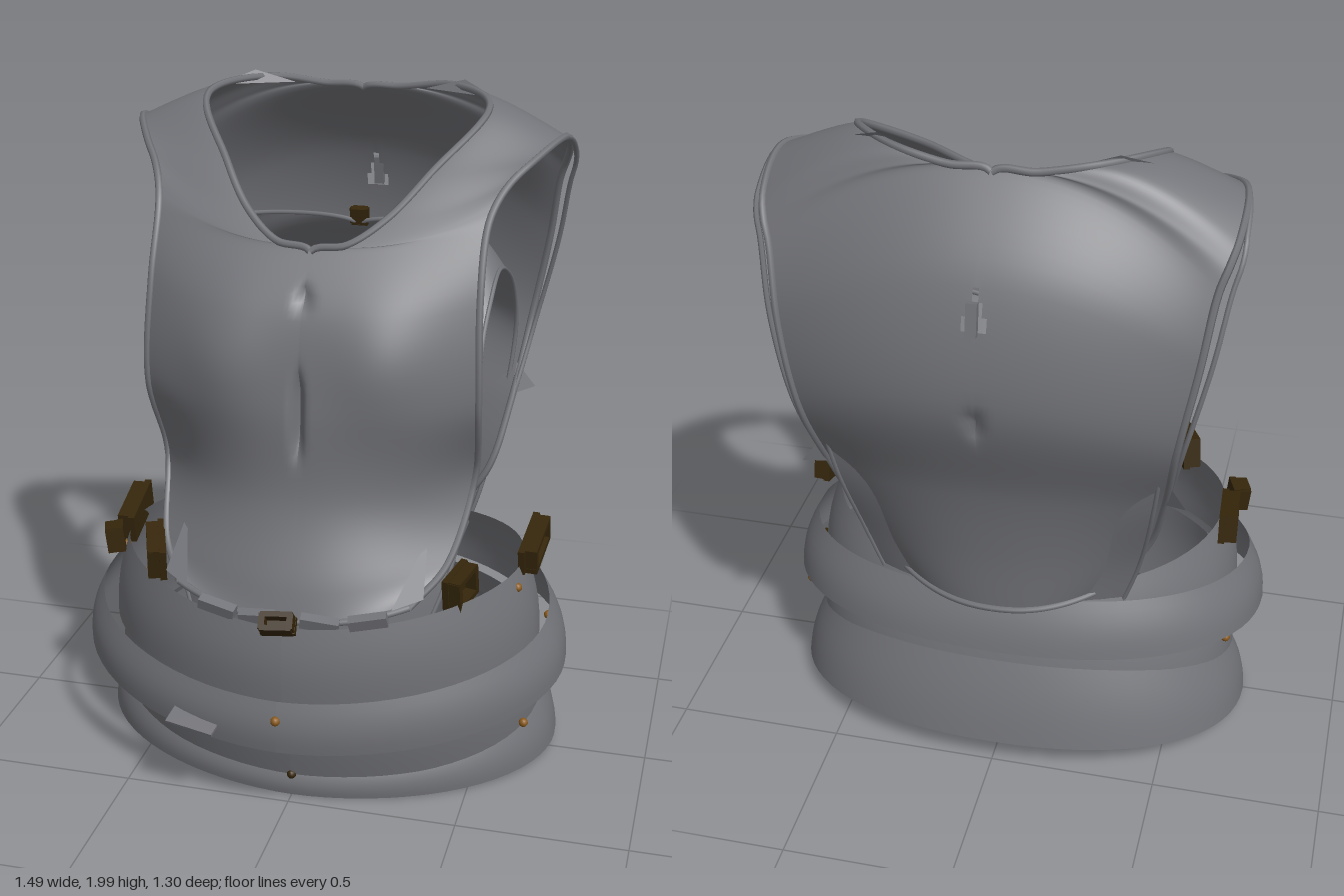
import * as THREE from 'three';

const mat = (name, color, side = THREE.DoubleSide) => {
  const m = new THREE.MeshStandardMaterial({ color, side });
  m.name = name;
  return m;
};
const spline = (pts) => new THREE.CatmullRomCurve3(pts.map((p) => new THREE.Vector3(...p)));

// Outer shell from front hem, over the shoulder, to back hem: centre or neck edge, and armhole edge
const shellInner = spline([
  [0, .61, .5], [0, .7, .47], [0, .92, .385], [0, 1.2, .37], [0, 1.45, .32], [0, 1.615, .22],
  [.1, 1.635, .205], [.2, 1.7, .14], [.3, 1.81, .02], [.42, 1.955, -.2], [.28, 1.98, -.37], [.12, 1.96, -.41],
  [0, 1.95, -.415], [0, 1.72, -.585], [0, 1.38, -.65], [0, 1.03, -.54], [0, .8, -.495], [0, .58, -.47]]);
const shellOuter = spline([
  [.34, .66, .43], [.42, .74, .3], [.465, .94, .14], [.485, 1.2, .23], [.475, 1.5, .2], [.475, 1.68, .12],
  [.49, 1.74, .07], [.52, 1.79, .01], [.57, 1.835, -.07], [.635, 1.875, -.22], [.635, 1.81, -.38], [.62, 1.76, -.43],
  [.6, 1.7, -.46], [.57, 1.5, -.52], [.525, 1.25, -.53], [.48, .97, -.41], [.43, .78, -.34], [.32, .62, -.34]]);
const SHELL = { inner: shellInner, outer: shellOuter, neck: [5 / 17, 12 / 17] };
const CORD = [9 / 17, 15 / 17];

// Smaller lining inside the shell, laid out the same way
const LINING = {
  inner: spline([[0, .42, .4], [0, .7, .36], [0, .95, .2], [0, 1.15, .11], [0, 1.3, .035], [.3, 1.33, .02],
    [.385, 1.45, -.08], [.4, 1.55, -.22], [.34, 1.56, -.33], [0, 1.54, -.37], [0, 1.35, -.52],
    [0, 1, -.48], [0, .7, -.43], [0, .45, -.4]]),
  outer: spline([[.34, .46, .3], [.42, .7, .22], [.45, .95, .12], [.46, 1.12, .09], [.455, 1.22, .05],
    [.455, 1.33, -.01], [.46, 1.41, -.08], [.465, 1.475, -.19], [.475, 1.42, -.34], [.48, 1.33, -.43],
    [.48, 1.2, -.48], [.46, 1, -.45], [.41, .72, -.36], [.34, .5, -.33]]),
  neck: [4 / 13, 9 / 13],
};

// Grid surface from a point function; skip() leaves holes
function gridGeometry(rows, cols, point, flip = false, skip = () => false) {
  const pos = [], idx = [];
  for (let i = 0; i <= rows; i++)
    for (let j = 0; j <= cols; j++) pos.push(...point(i / rows, j / cols));
  for (let i = 0; i < rows; i++)
    for (let j = 0; j < cols; j++) {
      const a = i * (cols + 1) + j, b = a + 1, c = a + cols + 1, d = c + 1;
      if (skip(pos[a * 3], pos[a * 3 + 1], pos[a * 3 + 2])) continue;
      if (flip) idx.push(a, c, b, b, c, d);
      else idx.push(a, b, c, b, d, c);
    }
  const g = new THREE.BufferGeometry();
  g.setAttribute('position', new THREE.Float32BufferAttribute(pos, 3));
  g.setIndex(idx);
  g.computeVertexNormals();
  return g;
}

function vestPoint(vest, u, s, side) {
  const a = vest.inner.getPoint(u), b = vest.outer.getPoint(u);
  a.x = Math.max(0, a.x);
  const t = Math.pow(s, 1.3);
  const k = Math.pow(t, 2.2 - a.x * 2.2);
  const x = a.x + (b.x - a.x) * t;
  const y = a.y + (b.y - a.y) * k;
  let z = a.z + (b.z - a.z) * k;
  if (vest === SHELL && z > .1) {
    // chest swell and the pinched centre seam
    z += .03 * Math.exp(-(((x - .23) / .13) ** 2) - ((y - 1.32) / .16) ** 2);
    z -= .04 * Math.exp(-((x / .014) ** 2) - ((y - 1.18) / .11) ** 4);
    z -= .025 * Math.exp(-((x / .02) ** 2) - ((y - 1.5) / .02) ** 2);
  } else if (vest === SHELL && y < 1.4) {
    // dimple in the back
    z += .03 * Math.exp(-((x / .025) ** 2) - ((y - 1.32) / .03) ** 2);
  }
  return [x * side, y, z];
}

// Oval band: each edge is [half width, front z, back z, front y, middle y, back y]
function bandGeometry(bottom, top) {
  const edge = ([w, zf, zb, yf, ym, yb], a) => {
    const c = Math.cos(a), s = Math.sin(a);
    const round = (v) => Math.sign(v) * Math.pow(Math.abs(v), c > 0 ? 1.08 : .92);
    const bend = ym - (yf + yb) / 2;
    return [w * round(s), yb + (yf - yb) * (1 + c) / 2 + bend * s * s,
      (zf + zb) / 2 + (zf - zb) / 2 * round(c)];
  };
  return gridGeometry(6, 72, (v, q) => {
    const p = edge(bottom, q * Math.PI * 2), t = edge(top, q * Math.PI * 2);
    const bulge = 1 + .02 * Math.sin(v * Math.PI);
    const mix = (i) => p[i] + (t[i] - p[i]) * v;
    return [mix(0) * bulge, mix(1), mix(2) * bulge];
  });
}

export function createModel() {
  const model = new THREE.Group();
  const steel = mat('steel grey', 0x727378);
  const bronze = mat('dark bronze', 0x35260b, THREE.FrontSide);
  const brass = mat('rivet brass', 0x8a5a1c, THREE.FrontSide);
  const add = (name, geo, m, parent = model) => {
    const mesh = new THREE.Mesh(geo, m);
    mesh.name = name;
    parent.add(mesh);
    return mesh;
  };
  // Tube along f(u) for u from a to b
  const trim = (name, a, b, f, r, n) => {
    const pts = Array.from({ length: n + 1 }, (_, i) => f(a + (b - a) * i / n));
    add(name, new THREE.TubeGeometry(spline(pts), n * 2, r, 6), steel);
  };

  for (const side of [1, -1]) {
    const label = side > 0 ? 'left' : 'right';
    const keyhole = (x, y, z) => y > 1.62 && Math.abs(x) < .25 * (1.74 - y) && Math.abs(x) < .022 && z < -.4;
    add(label + 'TorsoShell', gridGeometry(150, 26, (u, s) => vestPoint(SHELL, u, s, side), side < 0, keyhole), steel);
    add(label + 'Lining', gridGeometry(90, 16, (u, s) => vestPoint(LINING, u, s, side), side < 0), steel);

    // Raised trim along armholes, necklines and hems
    for (const [vest, part, r] of [[SHELL, 'Shell', .011], [LINING, 'Lining', .007]]) {
      trim(label + part + 'ArmholeTrim', 0, 1, (u) => vestPoint(vest, u, 1, side), r, 70);
      trim(label + part + 'NeckTrim', ...vest.neck, (u) => vestPoint(vest, u, 0, side), r, 40);
      trim(label + part + 'FrontHemTrim', 0, 1, (s) => vestPoint(vest, 0, s, side), r, 16);
      trim(label + part + 'BackHemTrim', 0, 1, (s) => vestPoint(vest, 1, s, side), r, 16);
    }

    // Loose cord hanging beside the armhole
    trim(label + 'ArmholeCord', 0, 1, (q) => {
      const p = shellOuter.getPoint(CORD[0] + (CORD[1] - CORD[0]) * q);
      const sag = Math.sin(Math.PI * q);
      return [side * (p.x + .035 * sag), p.y, p.z + .03 * sag];
    }, .008, 24);

    // Small pointed fins
    const fin = (name, pts) => {
      const g = new THREE.BufferGeometry().setFromPoints(
        pts.map(([x, y, z]) => new THREE.Vector3(x * side, y, z)));
      g.computeVertexNormals();
      add(label + name, g, steel);
    };
    fin('ShoulderFin', [[.2, 1.965, -.37], [.42, 1.96, -.3], [.32, 2, -.35]]);
    fin('BackFin', [[.49, 1.1, -.46], [.48, 1, -.43], [.55, 1.02, -.47]]);
    fin('HemFin', [[.3, .67, .48], [.38, .69, .43], [.36, .81, .28]]);
  }

  // Waist bands
  add('upperWaistBand', bandGeometry([.66, .555, -.45, .38, .41, .44], [.605, .545, -.4, .61, .67, .62]), steel);
  add('outerBelt', bandGeometry([.745, .62, -.49, .25, .34, .43], [.69, .61, -.43, .41, .51, .6]), steel);
  add('middleWaistBand', bandGeometry([.665, .46, -.46, .08, .14, .2], [.63, .52, -.42, .39, .41, .43]), steel);
  add('lowerSkirt', bandGeometry([.715, .46, -.52, .01, .035, .1], [.65, .45, -.43, .09, .22, .38]), steel);

  // Thin plates snagged on the bands
  const plate = (name, size, pos, rot) => {
    const p = add(name, new THREE.BoxGeometry(...size), steel);
    p.position.set(...pos);
    p.rotation.set(...rot);
  };
  plate('beltTab', [.15, .008, .1], [-.25, .31, .58], [.35, -.2, 0]);
  plate('backNub', [.03, .09, .02], [0, 1.645, -.64], [.2, 0, 0]);
  [-.2, -.08, .1, .24].forEach((x, i) =>
    plate('hemPlate', [.11, .035, .03], [x, .615 + x * x * .5, .51], [.3, x * .8, (i % 2 ? 1 : -1) * .15]));

  // Buckles: backing plate with an open frame
  const buckle = (pos, rot, w, h) => {
    const g = new THREE.Group();
    g.name = 'buckle';
    g.position.set(...pos);
    g.rotation.set(...rot);
    add('bucklePlate', new THREE.BoxGeometry(w, h, .02), bronze, g);
    for (const s of [1, -1]) {
      add('buckleBar', new THREE.BoxGeometry(w * .9, .016, .05), bronze, g).position.set(0, s * h * .4, .02);
      add('buckleSide', new THREE.BoxGeometry(.018, h * .9, .05), bronze, g).position.set(s * w * .4, 0, .02);
    }
    model.add(g);
  };
  buckle([.615, .7, .01], [0, 1.5, .2], .21, .08);
  buckle([-.61, .67, .01], [0, -1.5, -.2], .21, .09);
  buckle([-.62, .65, .16], [.3, -1.2, .3], .07, .08);
  buckle([.445, .675, .29], [0, 1.3, .15], .13, .1);
  buckle([-.43, .7, .32], [0, -1.2, -.2], .17, .1);
  buckle([0, .635, .58], [-.8, 0, .1], .1, .05);
  buckle([.66, .34, -.02], [0, 1.5, 0], .18, .055);
  buckle([0, 1.545, -.375], [-1.4, 0, 0], .05, .02);

  // Rivets: two at the front, the rest in side pairs
  const rivet = (m, x, y, z) => add('rivet', new THREE.SphereGeometry(.014, 10, 8), m).position.set(x, y, z);
  rivet(brass, 0, .355, .625);
  rivet(bronze, 0, .08, .46);
  for (const side of [1, -1]) {
    rivet(brass, side * .64, .17, .15);
    rivet(brass, side * .66, .365, -.19);
    rivet(brass, side * .605, .62, .15);
  }

  return model;
}
